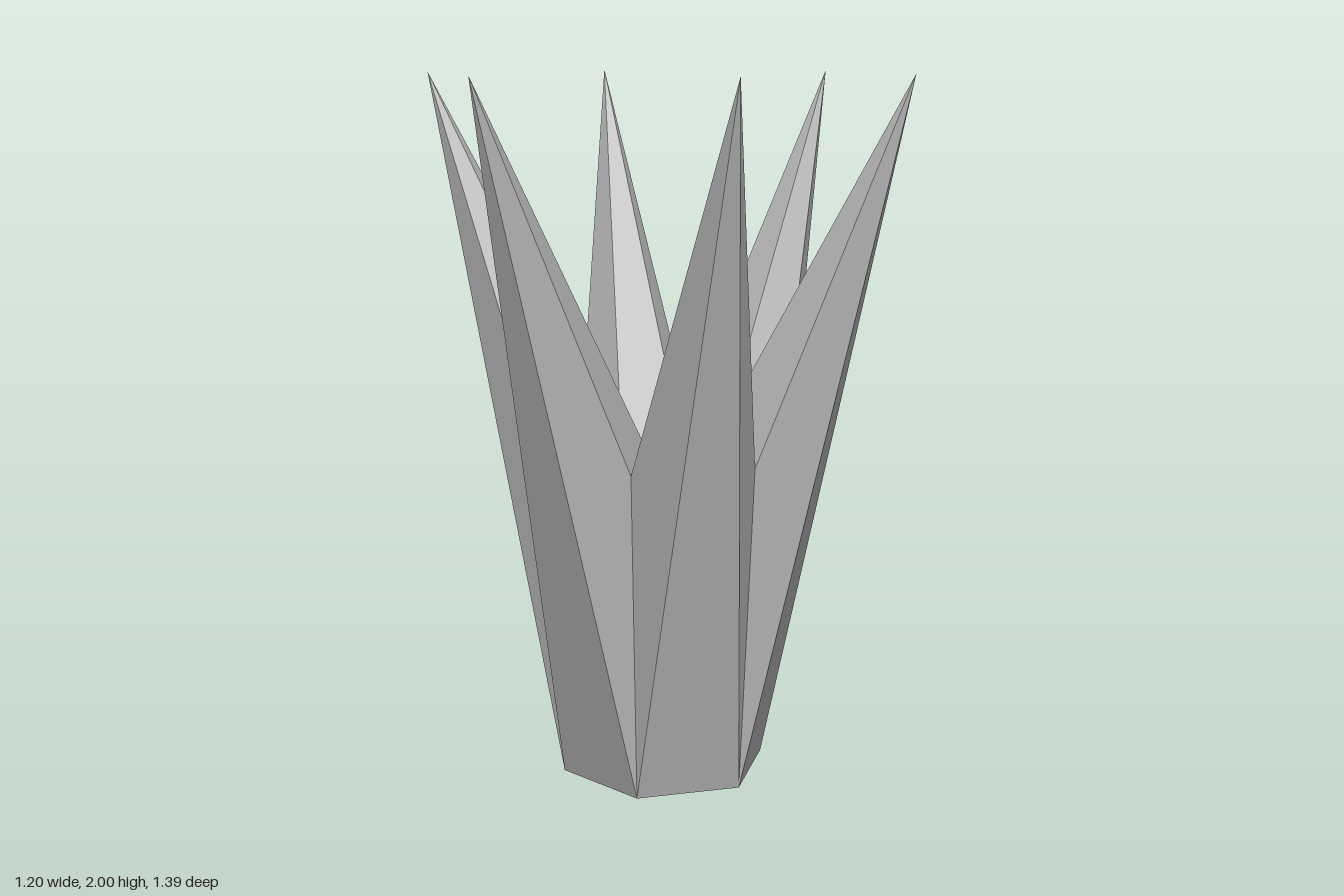
import * as THREE from 'three';

// point at an angle around the y axis (0 = front), a radius and a height
const polar = (deg, r, y) => {
  const a = THREE.MathUtils.degToRad(deg);
  return [r * Math.sin(a), y, r * Math.cos(a)];
};

function facets(name, triangles, material) {
  const geometry = new THREE.BufferGeometry();
  geometry.setAttribute('position', new THREE.Float32BufferAttribute(triangles.flat(2), 3));
  geometry.computeVertexNormals();
  const mesh = new THREE.Mesh(geometry, material);
  mesh.name = name;
  return mesh;
}

export function createModel() {
  const grey = new THREE.MeshStandardMaterial({ color: 0xb4b4b4 });
  grey.name = 'grey';
  const group = new THREE.Group();
  group.name = 'spikedCrown';

  const floor = [0, 0.67, 0];
  const underside = [0, 0.05, 0];

  for (let i = 0; i < 6; i++) {
    const mid = i * 60, right = mid + 30, left = mid - 30;
    const tip = polar(mid, 0.693, 2);
    const [baseR, baseL] = [right, left].map(a => polar(a, 0.3, 0));
    const [notchR, notchL] = [right, left].map(a => polar(a, 0.35, 0.94));
    const [innerR, innerL] = [right, left].map(a => polar(a, 0.176, 0.97));

    // one pointed spike: outer face, two flanks, two rims, inner face
    group.add(facets('spike', [
      [baseL, baseR, tip],
      [baseR, notchR, tip],
      [baseL, tip, notchL],
      [notchR, innerR, tip],
      [notchL, tip, innerL],
      [innerR, innerL, tip],
    ], grey));

    // sunken floor between the spikes and slightly hollow underside
    group.add(facets('innerFloor', [[floor, innerL, innerR]], grey));
    group.add(facets('underside', [[underside, baseR, baseL]], grey));
  }
  return group;
}
